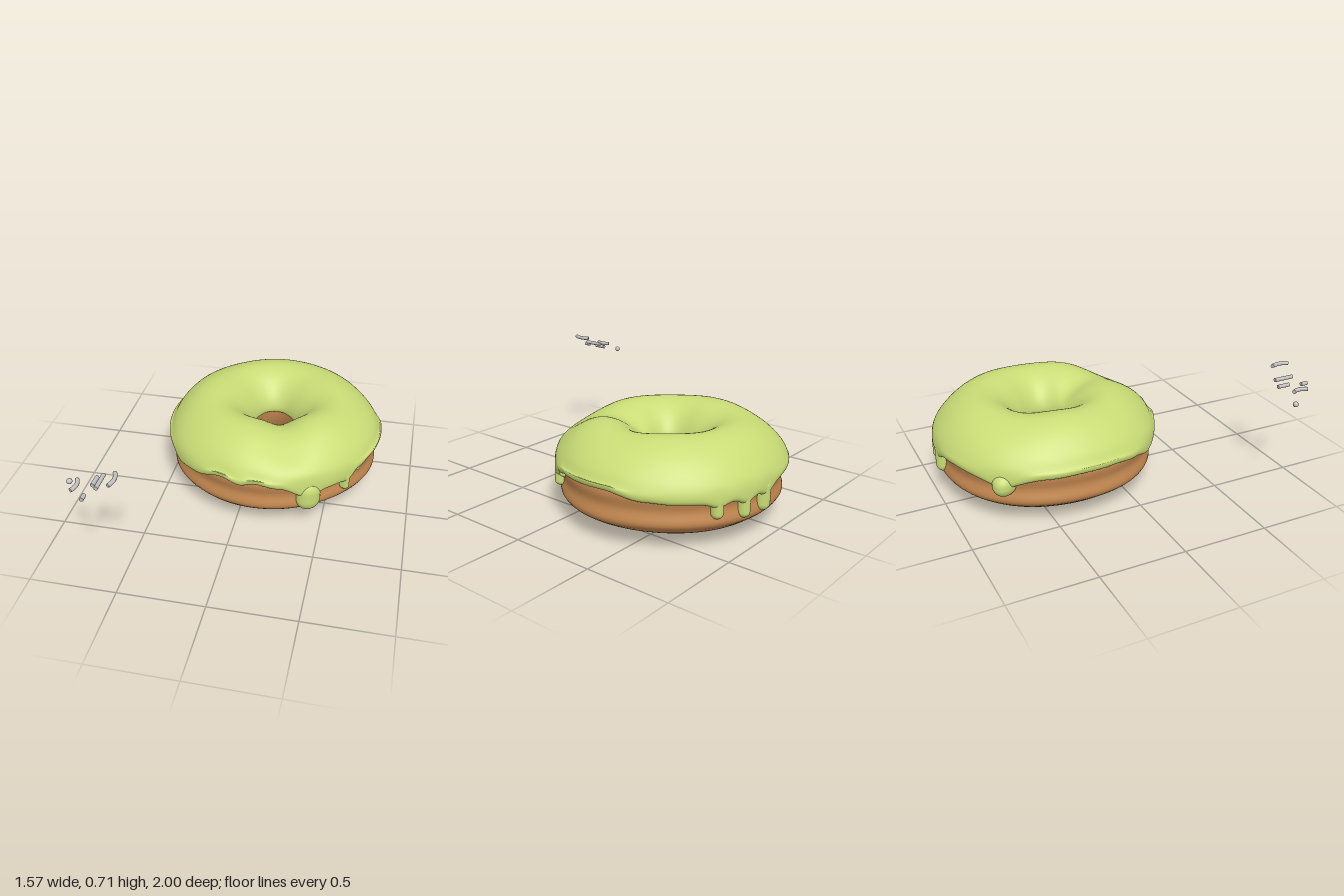
import * as THREE from 'three';

const CX = 0.12, CZ = -0.335, DEG = Math.PI / 180;

// Smooth bump around an angle, in degrees
const bump = (a, centre, width) => {
  const d = ((a - centre + 540) % 360 + 360) % 360 - 180;
  return Math.exp(-(d * d) / (width * width));
};

// Height of the icing's outer edge at [degrees, y]
const EDGE = [
  [-180, 0.31], [-160, 0.3], [-138, 0.27], [-110, 0.29], [-90, 0.28], [-75, 0.27], [-60, 0.27],
  [-40, 0.275], [-25, 0.285], [-6, 0.32], [20, 0.31], [29, 0.3], [38, 0.26], [46, 0.25],
  [54, 0.26], [61, 0.25], [78, 0.295], [90, 0.32], [98, 0.295], [108, 0.32], [125, 0.27],
  [138, 0.255], [150, 0.29], [165, 0.31], [180, 0.31],
];
function edgeBase(a) {
  let i = 0;
  while (i < EDGE.length - 2 && a > EDGE[i + 1][0]) i++;
  const [a0, y0] = EDGE[i], [a1, y1] = EDGE[i + 1];
  return y0 + (y1 - y0) * THREE.MathUtils.smoothstep(a, a0, a1);
}

// Drips: angle, lowest y, half width, radial half thickness
const DRIPS = [
  [61, 0.12, 0.074, 0.055], [38, 0.18, 0.027, 0.04], [29, 0.265, 0.022, 0.035],
  [-60, 0.18, 0.034, 0.04], [-75, 0.155, 0.034, 0.042], [-89, 0.15, 0.042, 0.045],
  [-138, 0.19, 0.066, 0.085],
];
const edge = (a) => DRIPS.reduce(
  (y, [d, low, w]) => y - (y - low) * 0.28 * bump(a, d, w * 110 + 1), edgeBase(a));

// Shared unevenness: rounded three-sided hole, dented top, lumpy underside
function warp(r, y, a) {
  const inner = 1 - THREE.MathUtils.smoothstep(r, 0.13, 0.4);
  const top = THREE.MathUtils.smoothstep(y, 0.36, 0.52);
  const under = 1 - THREE.MathUtils.smoothstep(y, 0.02, 0.16);
  const lump = 0.006 * Math.cos(3 * a * DEG) + 0.004 * Math.sin(5 * a * DEG + 1);
  const outer = THREE.MathUtils.smoothstep(r, 0.4, 0.6);
  return [
    r * (1 + 0.08 * inner * Math.cos(3 * (a - 20) * DEG)) + outer * lump,
    y - top * (0.042 * bump(a, 70, 22) + lump * 0.8)
      - under * (0.028 * bump(a, 113, 22) - 0.008 * bump(a, 0, 50)),
  ];
}

// Ring surface from a cross-section that may change with the angle
function ring(profile, closed, steps, segments) {
  const pos = [], index = [], cols = closed ? steps : steps + 1;
  for (let i = 0; i < segments; i++) {
    const a = -180 + (360 * i) / segments;
    const curve = new THREE.CatmullRomCurve3(
      profile(a).map(([r, y]) => new THREE.Vector3(r, y, 0)), closed, 'centripetal');
    for (let j = 0; j < cols; j++) {
      const p = curve.getPoint(j / steps);
      const [r, y] = warp(p.x, p.y, a);
      pos.push(CX + r * Math.cos(a * DEG), y, CZ + r * Math.sin(a * DEG));
    }
  }
  for (let i = 0; i < segments; i++) {
    const n = (i + 1) % segments;
    for (let j = 0; j < steps; j++) {
      const k = (j + 1) % cols;
      const p = i * cols + j, q = i * cols + k, s = n * cols + k, t = n * cols + j;
      index.push(p, q, s, p, s, t);
    }
  }
  const g = new THREE.BufferGeometry();
  g.setAttribute('position', new THREE.Float32BufferAttribute(pos, 3));
  g.setIndex(index);
  g.computeVertexNormals();
  return g;
}

export function createModel() {
  const model = new THREE.Group();
  const material = (name, color) => {
    const m = new THREE.MeshStandardMaterial({ color });
    m.name = name;
    return m;
  };
  const doughMat = material('brown dough', 0xc48850);
  const icingMat = material('green icing', 0xc9db76);
  const sprinkleMat = material('grey sprinkle', 0xc0c0c0);
  const add = (name, geometry, mat, parent = model) => {
    const m = new THREE.Mesh(geometry, mat);
    m.name = name;
    parent.add(m);
    return m;
  };

  // Dough ring with a slight waist
  const doughProfile = [
    [0.632, 0.15], [0.618, 0.225], [0.63, 0.3], [0.6, 0.38], [0.52, 0.46], [0.37, 0.51],
    [0.23, 0.45], [0.165, 0.37], [0.16, 0.29], [0.19, 0.18], [0.26, 0.075], [0.38, 0.03],
    [0.49, 0.048], [0.575, 0.095],
  ];
  add('dough', ring(() => doughProfile, true, 56, 160), doughMat);

  // Icing shell, from the wavy outer lip over the top into the hole
  const icingProfile = (a) => {
    const e = edge(a);
    return [
      [0.6, e + 0.012], [0.638, e], [0.658, e + 0.014], [0.663, e + 0.04], [0.652, 0.355],
      [0.617, 0.41], [0.55, 0.477], [0.46, 0.53], [0.37, 0.548], [0.28, 0.525], [0.205, 0.47],
      [0.153, 0.4], [0.135, 0.34], [0.142, 0.315], [0.175, 0.31],
    ];
  };
  add('icing', ring(icingProfile, false, 60, 360), icingMat);

  // Drips running down the side
  const drips = new THREE.Group();
  drips.name = 'icingDrips';
  model.add(drips);
  for (const [a, low, w, depth] of DRIPS) {
    const length = Math.max(0.01, edgeBase(a) + 0.03 - low - 1.5 * w);
    const drip = add('icingDrip', new THREE.CapsuleGeometry(w, length, 10, 24), icingMat, drips);
    drip.scale.z = depth / w;
    drip.rotation.y = Math.PI / 2 - a * DEG;
    drip.position.set(CX + 0.62 * Math.cos(a * DEG), low + w + length / 2, CZ + 0.62 * Math.sin(a * DEG));
  }

  // Loose sprinkles: x, y, start z, end z, sideways bow
  const sprinkles = new THREE.Group();
  sprinkles.name = 'sprinkles';
  model.add(sprinkles);
  const section = new THREE.Shape().absarc(0, 0, 0.0115, 0, Math.PI * 2);
  const RODS = [
    [-0.705, 0.63, 0.85, 0.945, 0.03], [-0.61, 0.63, 0.81, 0.885, 0], [-0.57, 0.655, 0.815, 0.935, 0],
    [-0.625, 0.624, 0.96, 1, 0], [-0.492, 0.705, 0.85, 0.96, 0.03],
  ];
  for (const [x, y, z0, z1, bow] of RODS) {
    const path = new THREE.QuadraticBezierCurve3(
      new THREE.Vector3(x, y, z0), new THREE.Vector3(x + bow, y, (z0 + z1) / 2), new THREE.Vector3(x, y, z1));
    add('sprinkle', new THREE.ExtrudeGeometry(section, {
      steps: bow ? 10 : 1, curveSegments: 14, bevelEnabled: false, extrudePath: path,
    }), sprinkleMat, sprinkles);
  }
  add('roundSprinkle', new THREE.SphereGeometry(0.016, 20, 14), sprinkleMat, sprinkles)
    .position.set(-0.765, 0.585, 0.82);

  return model;
}
